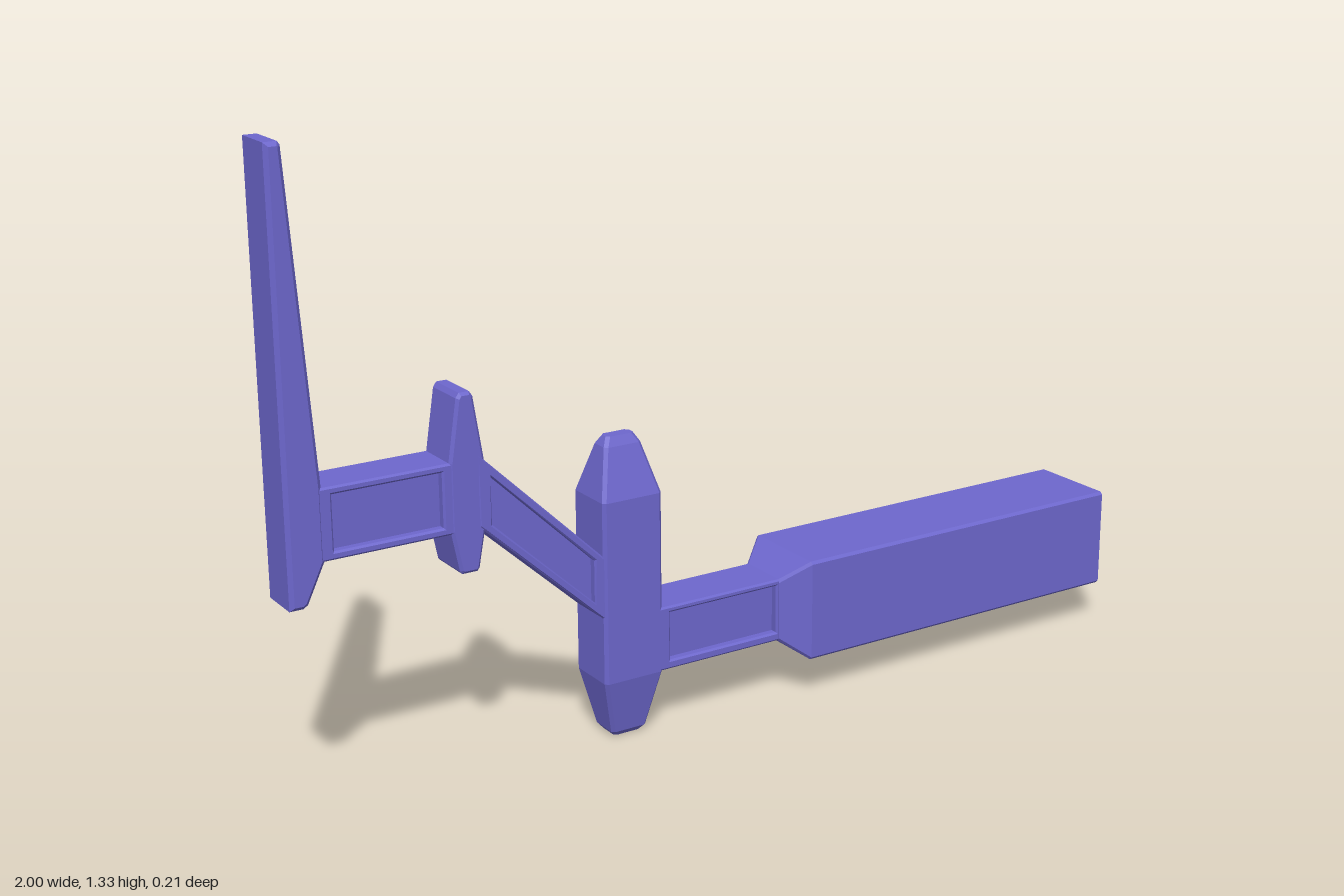
import * as THREE from 'three';
import { ConvexGeometry } from 'three/addons/geometries/ConvexGeometry.js';

const violet = new THREE.MeshStandardMaterial({ color: 0x6d67cd });
violet.name = 'violet';

const toVectors = (points) => points.map(([x, y]) => new THREE.Vector2(x, y));

function addMesh(group, name, geometry) {
  const mesh = new THREE.Mesh(geometry, violet);
  mesh.name = name;
  group.add(mesh);
}

// Outline in the xy plane, extruded to z = -half..half with chamfered edges
function slab(points, half, bevel, hole) {
  const shape = new THREE.Shape(toVectors(points));
  if (hole) shape.holes.push(new THREE.Path(toVectors(hole)));
  const geometry = new THREE.ExtrudeGeometry(shape, {
    depth: 2 * (half - bevel),
    bevelEnabled: bevel > 0,
    bevelSize: bevel,
    bevelThickness: bevel,
    bevelOffset: -bevel,
    bevelSegments: 1,
  });
  return geometry.translate(0, 0, bevel - half);
}

// Beam with a sunken panel on the front and back
function addBeam(group, name, outline, panel, half) {
  const beam = new THREE.Group();
  beam.name = name;
  addMesh(beam, name + 'Frame', slab(outline, half, 0.004, panel));
  const cx = panel.reduce((s, p) => s + p[0], 0) / panel.length;
  const cy = panel.reduce((s, p) => s + p[1], 0) / panel.length;
  const core = panel.map(([x, y]) => [cx + (x - cx) * 1.03, cy + (y - cy) * 1.05]);
  addMesh(beam, name + 'Panel', slab(core, half - 0.018, 0));
  group.add(beam);
}

const rect = (x0, x1, y0, y1) => [[x0, y0], [x1, y0], [x1, y1], [x0, y1]];

// Corners of a chamfered rectangle with half sizes a and b
function ring(a, b, c) {
  const points = [];
  for (const s of [-1, 1]) {
    for (const t of [-1, 1]) points.push([s * a, t * (b - c)], [s * (a - c), t * b]);
  }
  return points;
}

export function createModel() {
  const model = new THREE.Group();
  model.name = 'angledTool';

  // Square grip with a tapered shoulder: [x, half height, half depth]
  const grip = [];
  for (const [x, h, d] of [[0.11, 0.07, 0.062], [0.167, 0.113, 0.105], [1, 0.113, 0.105]]) {
    for (const [y, z] of ring(h, d, 0.006)) grip.push(new THREE.Vector3(x, 0.205 + y, z));
  }
  addMesh(model, 'grip', new ConvexGeometry(grip));

  // Guard post, pointed at both ends: [y, half width, half depth]
  const post = [];
  const levels = [
    [0, 0.032, 0.026], [0.012, 0.042, 0.036], [0.135, 0.07, 0.06],
    [0.53, 0.07, 0.06], [0.635, 0.043, 0.025], [0.654, 0.032, 0.014],
  ];
  for (const [y, w, d] of levels) {
    for (const [x, z] of ring(w, d, 0.007)) post.push(new THREE.Vector3(x - 0.253, y, z));
  }
  addMesh(model, 'guardPost', new ConvexGeometry(post));

  // Three panelled beams linking the posts
  addBeam(model, 'lowerBeam', rect(-0.2, 0.13, 0.135, 0.276), rect(-0.165, 0.105, 0.155, 0.262), 0.06);
  addBeam(model, 'diagonalBeam',
    [[-0.6, 0.535], [-0.3, 0.26], [-0.3, 0.395], [-0.6, 0.685]],
    [[-0.572, 0.535], [-0.342, 0.32], [-0.342, 0.412], [-0.572, 0.634]], 0.055);
  addBeam(model, 'upperBeam', rect(-0.94, -0.64, 0.53, 0.676), rect(-0.905, -0.675, 0.547, 0.66), 0.051);

  // Small post where the upper and diagonal beams meet
  addMesh(model, 'smallPost', slab([
    [-0.638, 0.444], [-0.605, 0.444], [-0.6, 0.45], [-0.584, 0.535], [-0.584, 0.675],
    [-0.604, 0.803], [-0.611, 0.813], [-0.633, 0.813], [-0.64, 0.803],
    [-0.66, 0.675], [-0.66, 0.535], [-0.643, 0.45],
  ], 0.053, 0.006));

  // Tall tapering end blade with a short heel
  addMesh(model, 'endBlade', slab([
    [-1, 0.444], [-0.972, 0.444], [-0.962, 0.45], [-0.924, 0.53], [-0.924, 0.676],
    [-0.967, 1.325], [-0.972, 1.332], [-1, 1.332],
  ], 0.053, 0.008));

  return model;
}
